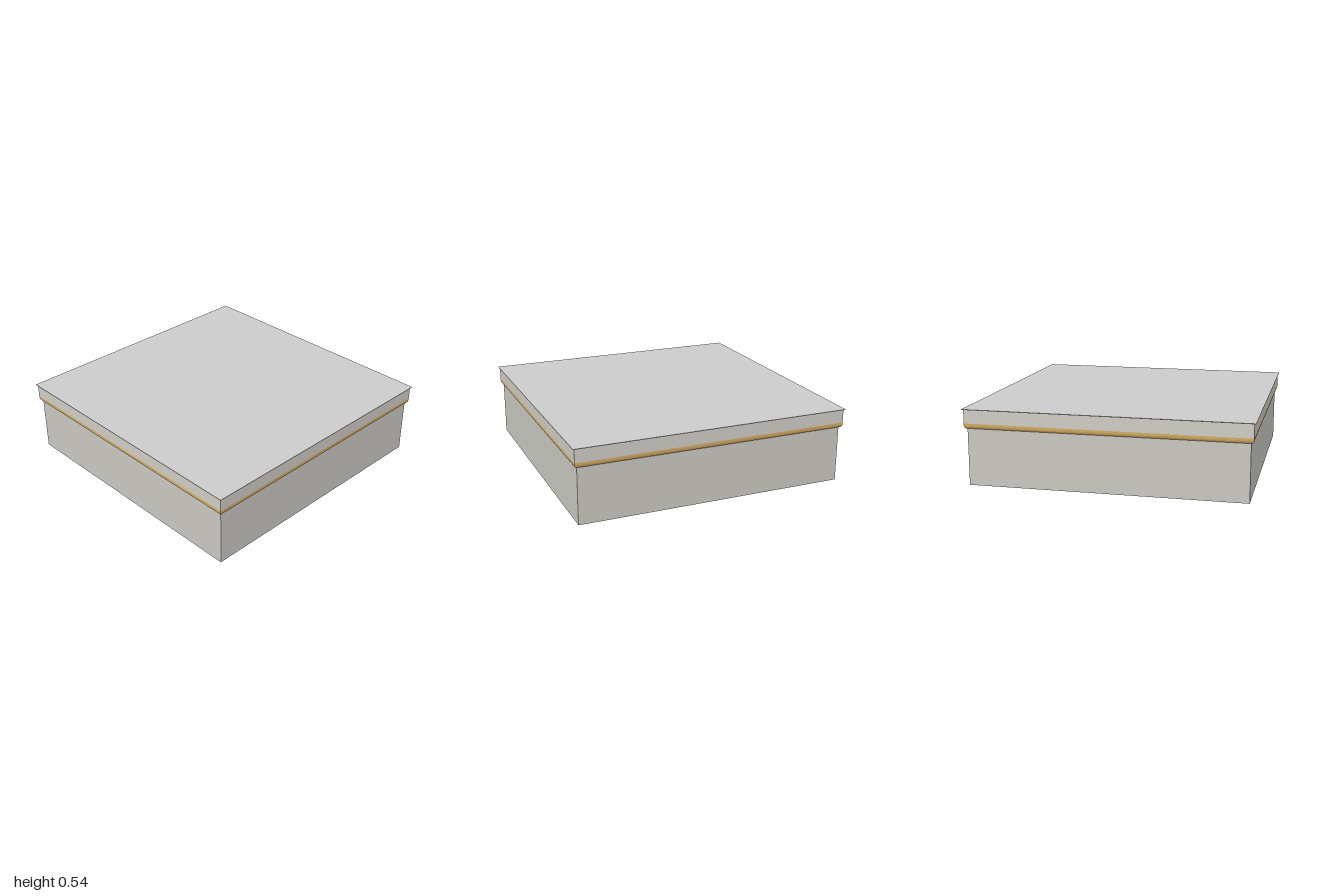
import * as THREE from 'three';

// Square solid or band swept from a profile of [half width, height], bottom to top
function squareSweep(name, profile, color) {
  const points = profile.map(([half, y]) => new THREE.Vector2(half * Math.SQRT2, y));
  const geometry = new THREE.LatheGeometry(points, 4, Math.PI / 4).toNonIndexed();
  geometry.computeVertexNormals();
  const material = new THREE.MeshStandardMaterial({ color, flatShading: true });
  const mesh = new THREE.Mesh(geometry, material);
  mesh.name = name;
  return mesh;
}

export function createModel() {
  const group = new THREE.Group();
  group.name = 'squarePlinth';

  // Main block
  group.add(squareSweep('base', [[0, 0], [0.97, 0], [0.97, 0.405], [0, 0.405]], 0xc9c8c2));

  // Gold moulding with a rounded lower edge
  group.add(squareSweep('goldTrim', [
    [0.97, 0.402], [0.977, 0.404], [0.983, 0.409], [0.987, 0.416],
    [0.989, 0.425], [0.989, 0.44],
  ], 0xd2aa62));

  // Upright band above the moulding
  group.add(squareSweep('fascia', [[0.989, 0.44], [0.989, 0.537]], 0xd0cbc4));

  // Thin overhanging top sheet
  const top = new THREE.Mesh(
    new THREE.BoxGeometry(2, 0.004, 2),
    new THREE.MeshStandardMaterial({ color: 0xd2d1cf })
  );
  top.name = 'topSheet';
  top.position.y = 0.538;
  group.add(top);

  return group;
}
